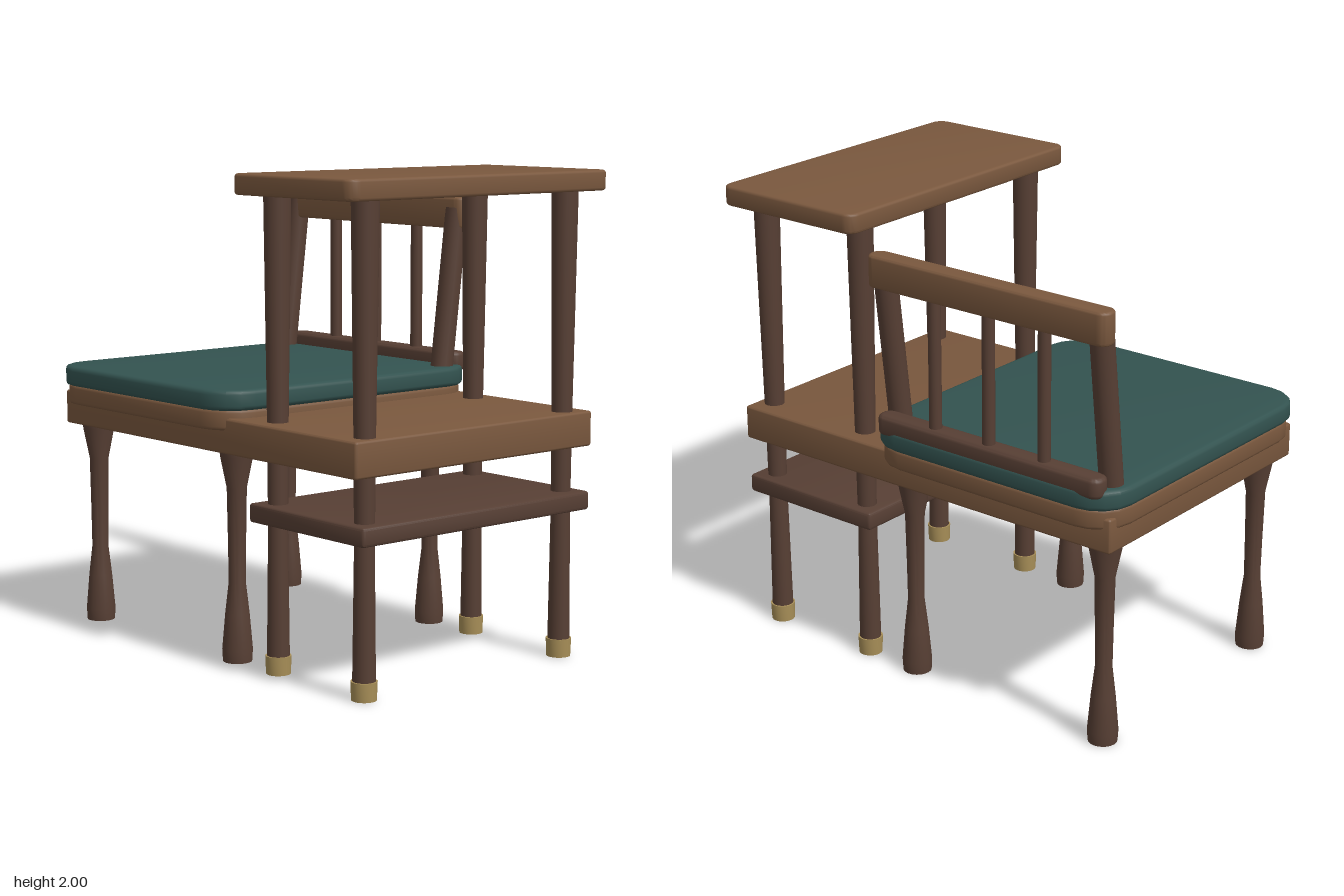
import * as THREE from 'three';
import { toCreasedNormals } from 'three/addons/utils/BufferGeometryUtils.js';

const wood = new THREE.MeshStandardMaterial({ color: 0x7a583e });
const darkWood = new THREE.MeshStandardMaterial({ color: 0x573f34 });
const fabric = new THREE.MeshStandardMaterial({ color: 0x335350 });
const brass = new THREE.MeshStandardMaterial({ color: 0xa88f58 });

export function createModel() {
  const model = new THREE.Group();

  function add(name, geometry, material) {
    const mesh = new THREE.Mesh(geometry, material);
    mesh.name = name;
    model.add(mesh);
    return mesh;
  }

  // Horizontal board with rounded plan corners and softened edges
  function slab(name, [x0, x1], [y0, y1], [z0, z1], radius, bevel, segments, material) {
    const w = (x1 - x0) / 2, d = (z1 - z0) / 2, r = radius;
    const shape = new THREE.Shape();
    shape.absarc(w - r, d - r, r, 0, Math.PI / 2);
    shape.absarc(-w + r, d - r, r, Math.PI / 2, Math.PI);
    shape.absarc(-w + r, -d + r, r, Math.PI, Math.PI * 1.5);
    shape.absarc(w - r, -d + r, r, Math.PI * 1.5, Math.PI * 2);
    shape.closePath();
    const geometry = new THREE.ExtrudeGeometry(shape, {
      depth: y1 - y0 - 2 * bevel, curveSegments: segments,
      bevelEnabled: true, bevelThickness: bevel, bevelSize: bevel, bevelOffset: -bevel, bevelSegments: 3,
    });
    geometry.translate(0, 0, bevel);
    geometry.rotateX(-Math.PI / 2);
    geometry.translate((x0 + x1) / 2, y0, (z0 + z1) / 2);
    return add(name, toCreasedNormals(geometry, 0.6), material);
  }

  // Turned part from [radius, height] pairs, closed at both ends
  function turned(name, profile, x, z, material) {
    const first = profile[0], last = profile[profile.length - 1];
    const points = [[0, first[1]], ...profile, [0, last[1]]].map(([r, y]) => new THREE.Vector2(r, y));
    const mesh = add(name, toCreasedNormals(new THREE.LatheGeometry(points, 20), 0.6), material);
    mesh.position.set(x, 0, z);
  }

  // Round bar between two points
  function bar(name, from, to, radius, material) {
    const a = new THREE.Vector3(...from), b = new THREE.Vector3(...to);
    const dir = b.clone().sub(a);
    const mesh = add(name, new THREE.CylinderGeometry(radius, radius, dir.length(), 16), material);
    mesh.position.copy(a).add(b).multiplyScalar(0.5);
    mesh.quaternion.setFromUnitVectors(new THREE.Vector3(0, 1, 0), dir.normalize());
  }

  // Shared base, seat and side table boards
  slab('baseFrame', [-0.965, 0.96], [0.875, 1.02], [-0.64, 0.64], 0.012, 0.01, 2, wood);
  slab('seatFrame', [-0.985, 0.22], [0.97, 1.055], [-0.685, 0.685], 0.16, 0.015, 2, wood);
  slab('seatCushion', [-0.995, 0.23], [1.05, 1.135], [-0.695, 0.695], 0.16, 0.02, 2, fabric);
  slab('tableTop', [0.272, 0.99], [1.917, 2], [-0.695, 0.695], 0.05, 0.012, 4, wood);
  slab('lowerShelf', [0.285, 0.975], [0.615, 0.692], [-0.617, 0.617], 0.014, 0.012, 2, darkWood);

  for (const z of [-0.535, 0.535]) {
    // Seat legs
    for (const x of [-0.87, 0.105]) {
      turned('seatLeg', [[0.06, 0], [0.063, 0.05], [0.05, 0.2], [0.035, 0.33], [0.037, 0.5],
        [0.041, 0.72], [0.067, 0.85], [0.07, 0.88]], x, z, darkWood);
    }
    // Table posts with metal feet
    for (const x of [0.37, 0.89]) {
      turned('tablePost', [[0.046, 0.07], [0.04, 0.6], [0.043, 1.02], [0.055, 1.92]], x, z, darkWood);
      turned('postFoot', [[0.05, 0], [0.053, 0.075]], x, z, brass);
    }
  }

  // Backrest
  slab('backTopRail', [-0.97, 0.205], [1.725, 1.858], [-0.697, -0.605], 0.042, 0.012, 4, wood);
  slab('backLowerRail', [-0.94, 0.175], [1.105, 1.19], [-0.692, -0.6], 0.042, 0.018, 4, darkWood);
  for (const x of [-0.912, 0.147]) {
    bar('backStile', [x, 1.1, -0.557], [x, 1.81, -0.643], 0.048, darkWood);
  }
  for (const x of [-0.655, -0.383, -0.112]) {
    bar('backSpindle', [x, 1.15, -0.648], [x, 1.75, -0.648], 0.026, darkWood);
  }

  return model;
}
